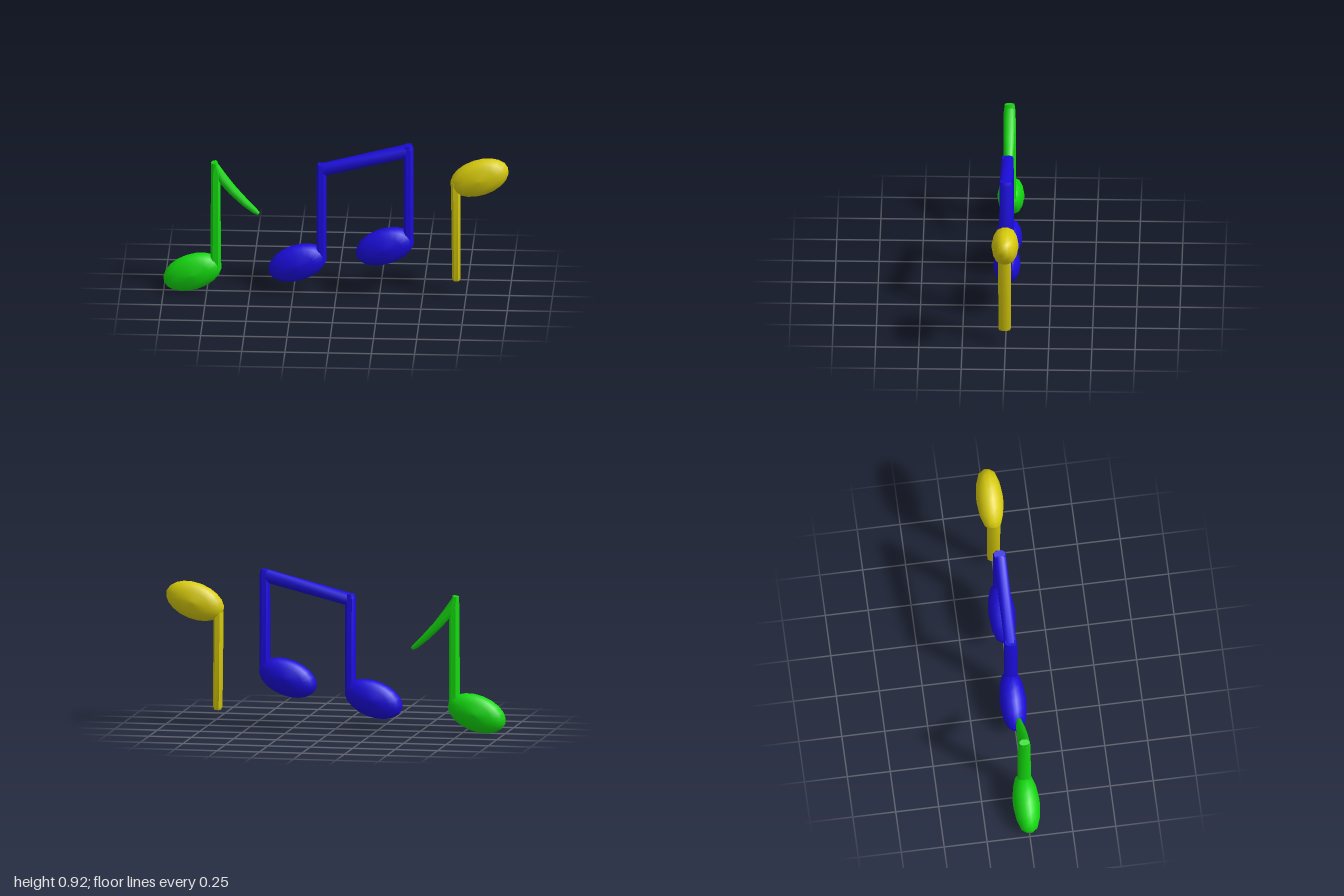
import * as THREE from 'three';
import { toCreasedNormals } from 'three/addons/utils/BufferGeometryUtils.js';

// Chamfered rectangular cross-section, as fractions of half width and half depth
const SECTION = [[1, -0.5], [1, 0.5], [0.5, 1], [-0.5, 1], [-1, 0.5], [-1, -0.5], [-0.5, -1], [0.5, -1]];

// Bar swept through stations [x, y, halfWidth, halfDepth] in the xy plane
function bar(name, stations, material) {
  const n = SECTION.length, pos = [], idx = [], last = stations.length - 1;
  stations.forEach(([x, y, w, d], i) => {
    const a = stations[Math.max(0, i - 1)], b = stations[Math.min(last, i + 1)];
    const t = new THREE.Vector2(b[0] - a[0], b[1] - a[1]).normalize();
    for (const [u, v] of SECTION) pos.push(x + t.y * u * w, y - t.x * u * w, 0.005 + v * d);
  });
  for (let i = 0; i < last; i++) {
    for (let j = 0; j < n; j++) {
      const a = i * n + j, b = i * n + (j + 1) % n;
      idx.push(a, a + n, b, b, a + n, b + n);
    }
  }
  for (let j = 1; j < n - 1; j++) {
    idx.push(0, j, j + 1, last * n, last * n + j + 1, last * n + j);
  }
  const geo = new THREE.BufferGeometry();
  geo.setAttribute('position', new THREE.Float32BufferAttribute(pos, 3));
  geo.setIndex(idx);
  const mesh = new THREE.Mesh(toCreasedNormals(geo, 0.9), material);
  mesh.name = name;
  return mesh;
}

// Tilted oval note head, lens-shaped in depth
function noteHead(name, x, y, material) {
  const half = [[0, 0.078], [0.12, 0.077], [0.55, 0.067], [0.87, 0.047], [1, 0.015]];
  const profile = [...half.map(([r, z]) => [r, -z]), ...half.slice().reverse()];
  const geo = new THREE.LatheGeometry(profile.map(([r, z]) => new THREE.Vector2(r, z)), 20);
  geo.rotateX(Math.PI / 2);
  geo.scale(0.175, 0.104, 1);
  const mesh = new THREE.Mesh(geo, material);
  mesh.rotation.z = 0.35;
  mesh.position.set(x, y, 0);
  mesh.name = name;
  return mesh;
}

function note(name, color, build) {
  const group = new THREE.Group();
  group.name = name;
  group.add(...build(new THREE.MeshStandardMaterial({ color })));
  return group;
}

export function createModel() {
  const model = new THREE.Group();
  model.name = 'musicNotes';

  // Single note with a curved flag
  model.add(note('flaggedNote', 0x14d80f, (m) => [
    noteHead('flaggedHead', -0.833, 0.118, m),
    bar('flaggedStem', [[-0.7, 0.14, 0.03, 0.038], [-0.698, 0.74, 0.027, 0.035], [-0.708, 0.798, 0.017, 0.028]], m),
    bar('flag', [[-0.705, 0.77, 0.024, 0.03], [-0.665, 0.705, 0.028, 0.032], [-0.6, 0.625, 0.025, 0.031],
      [-0.53, 0.553, 0.021, 0.025], [-0.475, 0.503, 0.016, 0.016], [-0.45, 0.485, 0.01, 0.01]], m),
  ]));

  // Two notes joined by a sloping beam
  model.add(note('beamedNotes', 0x1b0cdc, (m) => [
    noteHead('beamedHeadRight', -0.225, 0.185, m),
    noteHead('beamedHeadLeft', 0.28, 0.295, m),
    bar('beamedStemRight', [[-0.088, 0.2, 0.028, 0.038], [-0.088, 0.77, 0.028, 0.036], [-0.086, 0.795, 0.022, 0.032]], m),
    bar('beamedStemLeft', [[0.417, 0.31, 0.028, 0.038], [0.417, 0.9, 0.028, 0.036], [0.414, 0.922, 0.022, 0.032]], m),
    bar('beam', [[-0.09, 0.76, 0.035, 0.034], [0.41, 0.887, 0.036, 0.036]], m),
  ]));

  // Inverted note with its stem hanging down
  model.add(note('invertedNote', 0xd8cb0c, (m) => [
    noteHead('invertedHead', 0.827, 0.728, m),
    bar('invertedStem', [[0.695, 0.097, 0.018, 0.03], [0.694, 0.113, 0.024, 0.036], [0.69, 0.7, 0.027, 0.038]], m),
  ]));

  return model;
}
